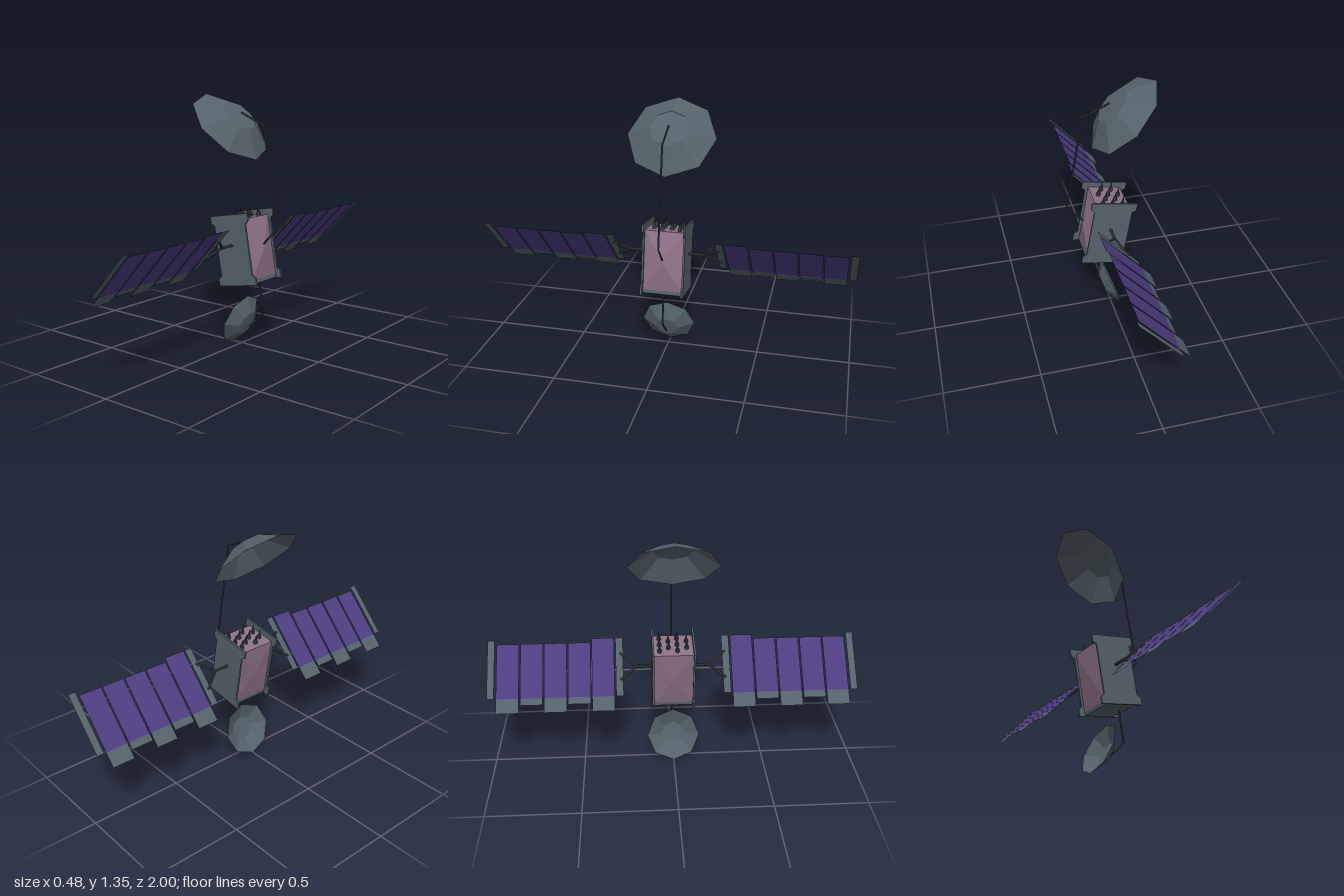
import * as THREE from 'three';

const paint = (color, extra = {}) => new THREE.MeshStandardMaterial({ color, flatShading: true, ...extra });
const grey = paint(0x55626b);
const greySheet = paint(0x55626b, { side: THREE.DoubleSide });
const cellSheet = paint(0x4d3d80, { side: THREE.DoubleSide });
const pink = paint(0x8c7088);
const dark = paint(0x3a4346);

function add(parent, name, geometry, material, x = 0, y = 0, z = 0) {
  const mesh = new THREE.Mesh(geometry, material);
  mesh.name = name;
  mesh.position.set(x, y, z);
  parent.add(mesh);
  return mesh;
}

// Straight rods joined through a list of points
function rods(parent, name, points, radius) {
  const group = new THREE.Group();
  group.name = name;
  const pts = points.map((p) => new THREE.Vector3(...p));
  for (let i = 1; i < pts.length; i++) {
    const dir = pts[i].clone().sub(pts[i - 1]);
    const rod = add(group, 'rod', new THREE.CylinderGeometry(radius, radius, dir.length(), 6), dark);
    rod.position.copy(pts[i]).add(pts[i - 1]).multiplyScalar(0.5);
    rod.quaternion.setFromUnitVectors(new THREE.Vector3(0, 1, 0), dir.normalize());
    if (i < pts.length - 1) {
      add(group, 'joint', new THREE.IcosahedronGeometry(radius * 1.1, 0), dark, ...points[i]);
    }
  }
  parent.add(group);
}

// Eight-sided open dish, bulging along its local +y
function dish(parent, name, radius, x, y, tilt) {
  const profile = [[1, 0], [0.43, 0.35], [0, 0.37]]
    .map(([r, h]) => new THREE.Vector2(r * radius, h * radius));
  const mesh = add(parent, name, new THREE.LatheGeometry(profile, 8), greySheet, x, y, 0);
  mesh.rotation.z = THREE.MathUtils.degToRad(tilt);
}

function buildBody() {
  const body = new THREE.Group();
  body.name = 'body';
  add(body, 'core', new THREE.BoxGeometry(0.18, 0.323, 0.21), pink, 0, -0.0035, 0);
  add(body, 'basePlate', new THREE.BoxGeometry(0.18, 0.02, 0.21), grey, 0, -0.175, 0);

  // I-shaped side plates
  const corner = [[0.124, 0.188], [0.124, 0.15], [0.103, 0.135]];
  const right = [...corner, ...corner.map(([x, y]) => [x, -y]).reverse()];
  const outline = [...right, ...right.map(([x, y]) => [-x, -y])];
  const shape = new THREE.Shape(outline.map(([x, y]) => new THREE.Vector2(x, y)));
  const plate = new THREE.ExtrudeGeometry(shape, { depth: 0.01, bevelEnabled: false });
  for (const z of [0.105, -0.115]) add(body, 'sidePlate', plate, grey, 0, 0, z);

  // Shallow pyramid covers on both open faces
  for (const [side, height] of [[1, 0.032], [-1, 0.012]]) {
    const cover = new THREE.ConeGeometry(Math.SQRT1_2, 1, 4, 1, true);
    cover.rotateY(Math.PI / 4).translate(0, 0.5, 0).scale(0.323, height, 0.21);
    cover.rotateZ(-side * Math.PI / 2);
    add(body, 'pyramidCover', cover, pink, side * 0.09, -0.0035, 0);
  }

  // Staggered spike antennas on the top
  for (let i = 0; i < 5; i++) {
    for (const z of i % 2 ? [-0.027, 0.07] : [-0.075, 0.02]) {
      const x = (i - 2) * 0.027;
      add(body, 'spikeBase', new THREE.CylinderGeometry(0.009, 0.012, 0.022, 6), dark, x, 0.168, z);
      add(body, 'spike', new THREE.ConeGeometry(0.007, 0.036, 6), dark, x, 0.196, z);
    }
  }
  body.position.set(0.033, 0.546, 0);
  body.rotation.z = THREE.MathUtils.degToRad(9.9);
  return body;
}

// One solar wing: local x runs across the sheets, z runs outwards
function buildWing(side) {
  const wing = new THREE.Group();
  wing.name = side > 0 ? 'frontWing' : 'backWing';
  const sheet = (name, x0, x1, z0, z1, material) => {
    const geometry = new THREE.PlaneGeometry(x1 - x0, z1 - z0).rotateX(-Math.PI / 2);
    add(wing, name, geometry, material, (x0 + x1) / 2, 0, side * (z0 + z1) / 2);
  };
  sheet('innerStrip', -0.162, 0.162, 0.27, 0.31, greySheet);
  sheet('outerStrip', -0.162, 0.162, 0.962, 1, greySheet);
  for (let i = 0; i < 5; i++) {
    const z = 0.318 + i * 0.128;
    sheet('solarPanel', -0.162, i === 0 ? 0.162 : 0.14, z, z + 0.121, cellSheet);
    sheet('panelTab', i % 2 ? -0.2 : -0.242, -0.162, z, z + 0.121, greySheet);
  }
  // Forked mount
  rods(wing, 'mountBar', [[0, 0, side * 0.1], [0, 0, side * 0.2]], 0.008);
  for (const x of [-0.075, 0.075]) {
    rods(wing, 'mountFork', [[0, 0, side * 0.195], [x, 0, side * 0.285]], 0.007);
  }
  wing.position.set(0.025, 0.572, 0);
  wing.rotation.z = THREE.MathUtils.degToRad(47);
  return wing;
}

export function createModel() {
  const model = new THREE.Group();
  model.name = 'satellite';
  model.add(buildBody(), buildWing(1), buildWing(-1));

  // Dishes and the bent arms that carry them
  dish(model, 'upperDish', 0.238, -0.072, 1.184, -45);
  dish(model, 'lowerDish', 0.145, -0.006, 0.142, -109.8);
  rods(model, 'upperArm', [[0, 1.258, 0], [0.143, 1.195, 0], [0.235, 0.67, 0], [0.135, 0.565, 0]], 0.005);
  rods(model, 'lowerArm', [[0.115, 0.4, 0], [0.147, 0.2, 0], [0.057, 0.11, 0]], 0.005);
  return model;
}
